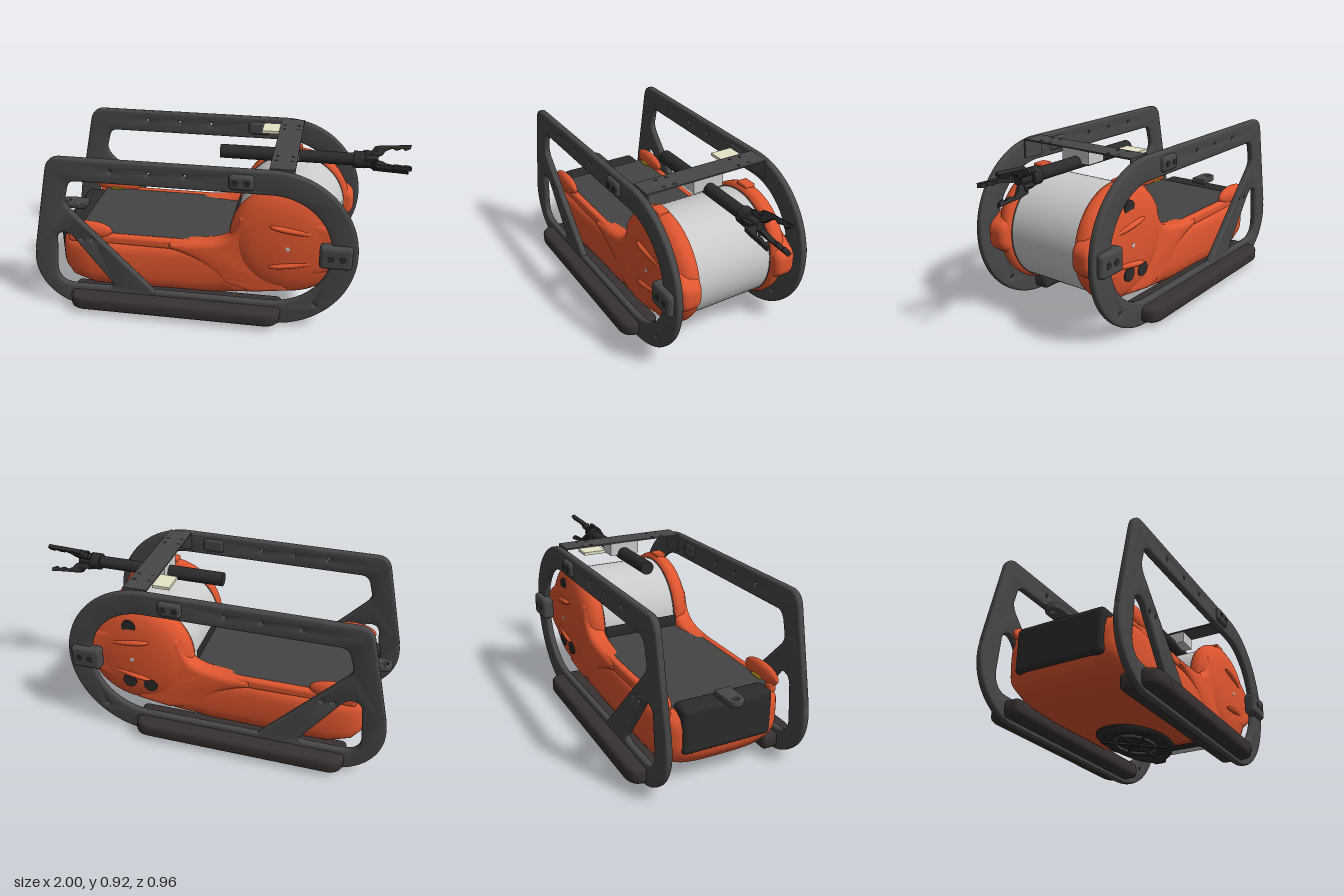
import * as THREE from 'three';
import { RoundedBoxGeometry } from 'three/addons/geometries/RoundedBoxGeometry.js';
import { toCreasedNormals } from 'three/addons/utils/BufferGeometryUtils.js';

const mat = (color) => new THREE.MeshStandardMaterial({ color });
const M = {
  orange: mat(0xe0562f), frame: mat(0x474747), skid: mat(0x383131), black: mat(0x2b2b2b),
  deck: mat(0x444444), grey: mat(0xcccccc), cream: mat(0xe6e3c6), yellow: mat(0xb5a51c),
};
const openBlack = new THREE.MeshStandardMaterial({ color: 0x2b2b2b, side: THREE.DoubleSide });

export function createModel() {
  const root = new THREE.Group();
  const add = (name, geo, m, x = 0, y = 0, z = 0, parent = root) => {
    const mesh = new THREE.Mesh(geo, m);
    mesh.name = name;
    mesh.position.set(x, y, z);
    parent.add(mesh);
    return mesh;
  };
  const rbox = (w, h, d, r) => new RoundedBoxGeometry(w, h, d, 3, r);
  const cylZ = (r, h, n = 20) => new THREE.CylinderGeometry(r, r, h, n).rotateX(Math.PI / 2);
  const cylX = (r, h, n = 24) => new THREE.CylinderGeometry(r, r, h, n).rotateZ(-Math.PI / 2);
  const ball = (a, b, c) => new THREE.SphereGeometry(1, 32, 20).scale(a, b, c);

  // Extrusion centred on z = 0, with bevels kept inside the outline
  const slab = (shape, thick, bevel, segs = 3) => {
    const g = new THREE.ExtrudeGeometry(shape, {
      depth: thick - 2 * bevel, bevelEnabled: bevel > 0, bevelThickness: bevel, bevelSize: bevel,
      bevelOffset: -bevel, bevelSegments: segs, curveSegments: 32,
    });
    return toCreasedNormals(g.translate(0, 0, bevel - thick / 2), 0.6);
  };

  // Closed path through points with every corner rounded: [x, y, radius]
  const rounded = (pts, path) => {
    const v = pts.map((p) => new THREE.Vector2(p[0], p[1]));
    pts.forEach((p, i) => {
      const c = v[i], a = v[(i + pts.length - 1) % pts.length], b = v[(i + 1) % pts.length];
      const s = c.clone().add(a.clone().sub(c).setLength(p[2]));
      const e = c.clone().add(b.clone().sub(c).setLength(p[2]));
      if (i) path.lineTo(s.x, s.y); else path.moveTo(s.x, s.y);
      path.quadraticCurveTo(c.x, c.y, e.x, e.y);
    });
    path.closePath();
    return path;
  };

  // Side frame outline with its two windows and bolt holes
  const frame = new THREE.Shape();
  frame.moveTo(-0.72, 0.003);
  frame.lineTo(0.305, 0.003);
  frame.absarc(0.305, 0.457, 0.454, -Math.PI / 2, Math.PI / 2, false);
  frame.lineTo(-0.8, 0.911);
  frame.quadraticCurveTo(-0.868, 0.911, -0.885, 0.84);
  frame.lineTo(-0.993, 0.36);
  frame.absarc(-0.72, 0.283, 0.28, Math.PI * 0.92, Math.PI * 1.5, false);
  const win = new THREE.Path();
  win.moveTo(-0.33, 0.14);
  win.lineTo(0.305, 0.14);
  win.absarc(0.305, 0.46, 0.32, -Math.PI / 2, Math.PI / 2, false);
  win.lineTo(-0.72, 0.78);
  win.quadraticCurveTo(-0.765, 0.78, -0.778, 0.735);
  win.lineTo(-0.795, 0.67);
  win.quadraticCurveTo(-0.8, 0.64, -0.775, 0.61);
  const small = rounded([[-0.89, 0.14, 0.11], [-0.54, 0.14, 0.06], [-0.79, 0.48, 0.05], [-0.86, 0.46, 0.04]], new THREE.Path());
  frame.holes.push(win, small);
  [[-0.53, 0.85], [-0.33, 0.85], [-0.14, 0.85], [-0.72, 0.44], [-0.66, 0.44], [0.55, 0.15]].forEach(([x, y]) =>
    frame.holes.push(new THREE.Path().absarc(x, y, 0.008, 0, Math.PI * 2, true)));
  const frameGeo = slab(frame, 0.038, 0.012);

  // Shoulder that blends the drum housing into the hull
  const neck = new THREE.Shape();
  neck.moveTo(-0.26, 0.42);
  neck.bezierCurveTo(0, 0.435, 0.1, 0.43, 0.125, 0.6);
  neck.lineTo(0.3, 0.72);
  neck.lineTo(0.4, 0.17);
  neck.lineTo(0.2, 0.14);
  neck.lineTo(0.05, 0.18);
  neck.quadraticCurveTo(-0.05, 0.33, -0.26, 0.375);
  const neckGeo = slab(neck, 0.11, 0.035, 6);

  // End nose of the drum housing
  const nose = rounded([[0.4, 0.26, 0.02], [0.6, 0.31, 0.05], [0.73, 0.4, 0.04], [0.73, 0.52, 0.04], [0.6, 0.61, 0.05], [0.4, 0.66, 0.02]], new THREE.Shape());
  const noseGeo = slab(nose, 0.125, 0.04, 6);

  // Domed drum housing profile: radius against depth
  const domePts = [[0.285, 0.222], [0.308, 0.225], [0.316, 0.25], [0.312, 0.28], [0.292, 0.31], [0.25, 0.335], [0.18, 0.35], [0.09, 0.358], [0, 0.36]];
  const dome = new THREE.LatheGeometry(domePts.map((p) => new THREE.Vector2(p[0], p[1])), 56);

  for (const s of [1, -1]) {
    const side = new THREE.Group();
    side.name = s > 0 ? 'frontSide' : 'backSide';
    root.add(side);
    const put = (n, g, m, x, y, z) => add(n, g, m, x, y, z * s, side);
    put('sideFrame', frameGeo, M.frame, 0, 0, 0.378);

    // Skid runner, rounded on its outer corners
    const plan = rounded([[-0.805, 0.277 * s, 0.03], [0.37, 0.277 * s, 0.03], [0.37, 0.479 * s, 0.09], [-0.805, 0.479 * s, 0.09]], new THREE.Shape());
    put('skid', slab(plan, 0.088, 0.024).rotateX(Math.PI / 2), M.skid, 0, 0.071, 0);
    for (const x of [-0.67, -0.21, 0.24]) put('skidBolt', cylZ(0.014, 0.01), M.black, x, 0.073, 0.474);

    // Clamp pads with bolts
    put('endPad', rbox(0.17, 0.13, 0.07, 0.022), M.frame, 0.645, 0.46, 0.394);
    put('topPad', rbox(0.13, 0.085, 0.07, 0.022), M.frame, 0.15, 0.845, 0.384);
    for (const d of [-0.03, 0.03]) {
      put('padBolt', cylZ(0.018, 0.012), M.black, 0.65 + d, 0.46, 0.425);
      put('padBolt', cylZ(0.016, 0.012), M.black, 0.15 + d, 0.845, 0.416);
    }

    // Housing with nose and radiating ridges
    put('drumHousing', dome.clone().rotateX(s * Math.PI / 2), M.orange, 0.385, 0.463, 0);
    put('shoulder', neckGeo, M.orange, 0, 0, 0.278);
    put('housingNose', noseGeo, M.orange, 0, 0, 0.286);
    for (const u of [1, -1]) {
      const ridge = put('housingRidge', ball(0.17, 0.022, 0.035), M.orange, 0.46, 0.46 + u * 0.095, 0.328);
      ridge.rotation.set(0, s * 0.16, -u * 0.16);
    }
    put('housingTab', rbox(0.08, 0.04, 0.06, 0.006), M.orange, 0.375, 0.77, 0.265);
    put('housingBolt', cylZ(0.012, 0.012), M.grey, 0.395, 0.46, 0.355);

    // Hull edge along the deck, with rear hump and latches
    put('deckRail', rbox(0.86, 0.06, 0.045, 0.02), M.orange, -0.4, 0.4, 0.296);
    put('rearHump', ball(0.14, 0.055, 0.032), M.orange, -0.715, 0.447, 0.3);
    put('deckLatch', new THREE.BoxGeometry(0.09, 0.014, 0.02), M.yellow, -0.01, 0.428, 0.28);
    put('deckLatch', new THREE.BoxGeometry(0.07, 0.014, 0.02), M.yellow, -0.72, 0.428, 0.268);

    // Side flange of the cross bracket
    put('bracketFlange', new THREE.BoxGeometry(0.13, 0.1, 0.008), M.frame, 0.35, 0.855, 0.355);
  }
  // Sensor ports on the back housing
  for (const [x, y, z] of [[0.41, 0.66, 0.338], [0.42, 0.31, 0.347], [0.3, 0.3, 0.343]])
    add('sensorPort', cylZ(0.04, 0.022, 24), M.black, x, y, -z);

  // Hull lofted along x: [x, half width, bottom, top]
  const secs = [[-0.88, 0.25, 0.18, 0.35], [-0.865, 0.29, 0.14, 0.39], [-0.82, 0.325, 0.095, 0.41], [-0.7, 0.345, 0.058, 0.415], [-0.5, 0.34, 0.045, 0.415],
    [-0.25, 0.328, 0.042, 0.415], [-0.05, 0.328, 0.046, 0.41], [0.05, 0.33, 0.065, 0.4], [0.11, 0.327, 0.092, 0.28], [0.18, 0.31, 0.115, 0.185], [0.23, 0.28, 0.133, 0.153]];
  const N = 48, pos = [], idx = [];
  const pw = (v, e) => Math.sign(v) * Math.abs(v) ** e;
  for (const [x, w, lo, hi] of secs) {
    const mid = lo + (hi - lo) * 0.55;
    for (let j = 0; j < N; j++) {
      const a = (j / N) * Math.PI * 2, c = Math.cos(a), q = Math.sin(a), e = q > 0 ? 0.4 : 0.6;
      pos.push(x, mid + pw(q, e) * (q > 0 ? hi - mid : mid - lo), w * pw(c, e));
    }
  }
  const last = secs.length - 1;
  for (const i of [0, last]) pos.push(secs[i][0], (secs[i][2] + secs[i][3]) / 2, 0);
  for (let j = 0; j < N; j++) {
    const k = (j + 1) % N;
    for (let i = 0; i < last; i++) {
      const a = i * N + j, b = i * N + k;
      idx.push(a, a + N, b, b, a + N, b + N);
    }
    idx.push(secs.length * N, j, k, secs.length * N + 1, last * N + k, last * N + j);
  }
  const hull = new THREE.BufferGeometry();
  hull.setAttribute('position', new THREE.Float32BufferAttribute(pos, 3));
  hull.setIndex(idx);
  add('hull', toCreasedNormals(hull, 0.7), M.orange);

  // Deck, rear block and tow lug
  add('deck', rbox(0.88, 0.04, 0.56, 0.006), M.deck, -0.35, 0.406, 0);
  add('rearBlock', rbox(0.12, 0.25, 0.5, 0.03), M.black, -0.835, 0.31, 0);
  const lug = new THREE.Shape();
  lug.moveTo(-0.82, -0.045);
  lug.lineTo(-0.82, 0.045);
  lug.lineTo(-0.93, 0.045);
  lug.absarc(-0.93, 0, 0.045, Math.PI / 2, Math.PI * 1.5, false);
  lug.holes.push(new THREE.Path().absarc(-0.935, 0, 0.018, 0, Math.PI * 2, true));
  add('towLug', slab(lug, 0.035, 0.006).rotateX(Math.PI / 2), M.frame, 0, 0.45, 0);

  // Drum with a curved guard between it and the hull
  add('drum', cylZ(0.295, 0.45, 72), M.grey, 0.375, 0.455, 0);
  for (const z of [-0.222, 0.222]) add('drumRim', new THREE.TorusGeometry(0.294, 0.004, 8, 64), M.frame, 0.375, 0.455, z);
  const guard = new THREE.CylinderGeometry(0.31, 0.31, 0.45, 28, 1, true, Math.PI * 1.46, Math.PI * 0.5).rotateX(Math.PI / 2);
  add('drumGuard', guard, openBlack, 0.375, 0.455, 0);

  // Oval intake grille under the hull, its sides curving up with the hull
  const grille = new THREE.Group();
  grille.name = 'intakeGrille';
  grille.position.set(-0.15, 0.034, 0);
  root.add(grille);
  const rim = new THREE.TorusGeometry(0.235, 0.03, 10, 56).rotateX(Math.PI / 2).scale(1.05, 1, 0.68);
  const rp = rim.attributes.position;
  for (let i = 0; i < rp.count; i++) rp.setY(i, rp.getY(i) + 1.2 * rp.getZ(i) ** 2);
  rim.computeVertexNormals();
  add('grilleRim', rim, M.black, 0, 0, 0, grille);
  add('grilleDisc', new THREE.CylinderGeometry(0.235, 0.235, 0.02, 40).scale(1.05, 1, 0.68), M.black, 0, 0.008, 0, grille);
  add('grilleRing', new THREE.TorusGeometry(0.14, 0.01, 8, 40).rotateX(Math.PI / 2).scale(1.05, 1, 0.68), M.frame, 0, -0.006, 0, grille);
  for (let i = 0; i < 3; i++)
    add('grilleBar', new THREE.BoxGeometry(0.44, 0.012, 0.016).rotateY((i * Math.PI) / 3).scale(1.05, 1, 0.68), M.black, 0, -0.006, 0, grille);
  add('grilleBracket', rbox(0.06, 0.065, 0.075, 0.012), M.black, 0.26, 0.004, 0, grille);

  // Cross bracket with mount block and cream plate
  add('crossBracket', new THREE.BoxGeometry(0.13, 0.008, 0.718), M.frame, 0.35, 0.909, 0);
  for (const x of [0.31, 0.39]) for (const z of [-0.26, -0.2, 0.19, 0.25])
    add('bracketBolt', new THREE.CylinderGeometry(0.01, 0.01, 0.008, 12), M.black, x, 0.91, z);
  add('mountBlock', new THREE.BoxGeometry(0.12, 0.07, 0.175), M.grey, 0.35, 0.87, 0);
  add('creamPlate', new THREE.BoxGeometry(0.095, 0.016, 0.125), M.cream, 0.235, 0.899, -0.228);

  // Gripper arm with three jaws
  const arm = new THREE.Group();
  arm.name = 'gripperArm';
  arm.position.set(0, 0.838, -0.005);
  root.add(arm);
  add('armTube', cylX(0.038, 0.34), M.black, 0.15, 0, 0, arm);
  add('armTubeFront', cylX(0.034, 0.4), M.black, 0.51, 0, 0, arm);
  add('armCollar', cylX(0.046, 0.06), M.black, 0.73, 0, 0, arm);
  add('armHub', cylX(0.028, 0.08), M.black, 0.79, 0, 0, arm);
  const jaw = new THREE.Shape();
  [[0.75, 0.015], [0.77, 0.055], [0.79, 0.045], [0.81, 0.075], [0.85, 0.082], [0.93, 0.087], [1, 0.093], [0.995, 0.073],
    [0.97, 0.062], [0.955, 0.073], [0.925, 0.06], [0.9, 0.07], [0.87, 0.055], [0.85, 0.03], [0.82, 0.015]]
    .forEach(([x, y], i) => (i ? jaw.lineTo(x, y) : jaw.moveTo(x, y)));
  for (let i = 0; i < 3; i++) {
    const claw = new THREE.Group();
    claw.name = 'jaw';
    claw.rotation.x = Math.PI / 2 + (i * Math.PI * 2) / 3;
    arm.add(claw);
    add('jawFinger', slab(jaw, 0.022, 0), M.black, 0, 0, 0, claw);
    add('jawPin', cylZ(0.009, 0.045, 12), M.black, 0.815, 0.055, 0, claw);
    add('jawLink', new THREE.BoxGeometry(0.07, 0.02, 0.034), M.black, 0.785, 0.04, 0, claw);
  }
  return root;
}
